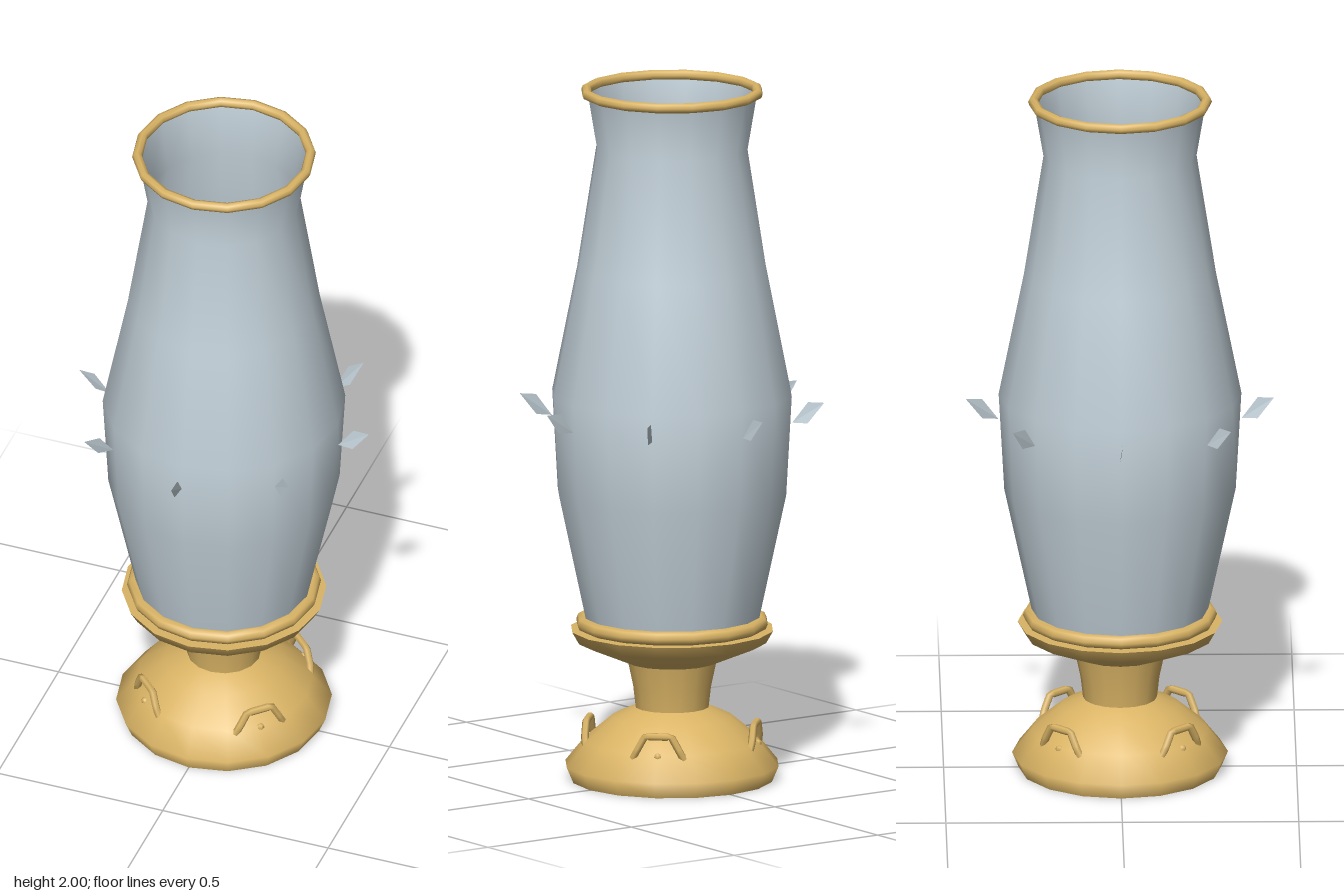
import * as THREE from 'three';

const brass = new THREE.MeshStandardMaterial({ name: 'brass', color: 0xdab465 });
const glass = new THREE.MeshStandardMaterial({ name: 'smokyGlass', color: 0xc2d0d8, side: THREE.DoubleSide });
const wax = new THREE.MeshStandardMaterial({ name: 'wax', color: 0xdcd0c4 });

const SIDES = 16;

function add(parent, name, geometry, material, x = 0, y = 0, z = 0) {
  const mesh = new THREE.Mesh(geometry, material);
  mesh.name = name;
  mesh.position.set(x, y, z);
  parent.add(mesh);
  return mesh;
}

function lathe(points, sides = SIDES) {
  return new THREE.LatheGeometry(points.map(([r, y]) => new THREE.Vector2(r, y)), sides);
}

function ring(radius, tube) {
  return new THREE.TorusGeometry(radius, tube, 8, SIDES).rotateX(Math.PI / 2);
}

// Thin slanted pendant, slightly twisted; local +x points away from the shade
function pendantGeometry() {
  const g = new THREE.BufferGeometry();
  g.setAttribute('position', new THREE.Float32BufferAttribute([
    0.345, 1.04, 0, 0.39, 1.04, 0.005, 0.437, 1.1, -0.002,
    0.345, 1.04, 0, 0.437, 1.1, -0.002, 0.39, 1.1, -0.004,
  ], 3));
  g.computeVertexNormals();
  return g;
}

// Bent strap handle; local +x points outward
function handleGeometry() {
  const path = new THREE.CurvePath();
  const pts = [
    [0.232, 0.085, -0.082], [0.24, 0.125, -0.062], [0.24, 0.168, -0.038],
    [0.24, 0.168, 0.038], [0.24, 0.125, 0.062], [0.232, 0.085, 0.082],
  ].map(p => new THREE.Vector3(...p));
  for (let i = 0; i < pts.length - 1; i++) path.add(new THREE.LineCurve3(pts[i], pts[i + 1]));
  return new THREE.TubeGeometry(path, 20, 0.011, 6, false);
}

export function createModel() {
  const model = new THREE.Group();
  model.name = 'hurricaneLamp';

  // Pedestal: domed foot, stem and flared dish
  const pedestal = new THREE.Group();
  pedestal.name = 'pedestal';
  model.add(pedestal);
  add(pedestal, 'foot', lathe([
    [0.287, 0], [0.306, 0.045], [0.25, 0.115], [0.17, 0.182], [0.105, 0.21],
  ]), brass);
  add(pedestal, 'stem', lathe([[0.105, 0.21], [0.112, 0.27], [0.127, 0.34]]), brass);
  add(pedestal, 'dish', lathe([[0.127, 0.34], [0.27, 0.4], [0.29, 0.435]]), brass);
  add(pedestal, 'footUnderside', new THREE.CircleGeometry(0.287, SIDES).rotateX(Math.PI / 2), brass);
  add(pedestal, 'dishTop', new THREE.CircleGeometry(0.29, SIDES).rotateX(-Math.PI / 2), brass, 0, 0.435);

  // Four handles on the foot, each with a small stud beneath
  const handle = handleGeometry();
  const stud = new THREE.SphereGeometry(0.012, 6, 4);
  for (let i = 0; i < 4; i++) {
    const mount = new THREE.Group();
    mount.name = 'handleMount';
    mount.rotation.y = Math.PI / 4 + i * Math.PI / 2;
    add(mount, 'handle', handle, brass);
    add(mount, 'stud', stud, brass, 0.246, 0.11, 0);
    pedestal.add(mount);
  }

  // Glass shade with its two brass rings
  add(model, 'shade', lathe([
    [0.248, 0.46], [0.328, 0.83], [0.344, 1.115], [0.272, 1.475], [0.217, 1.825], [0.244, 1.985],
  ]), glass);
  add(model, 'lowerRing', ring(0.255, 0.02), brass, 0, 0.455);
  add(model, 'upperRing', ring(0.246, 0.0145), brass, 0, 1.9855);

  // Eight pendants around the widest part
  const pendant = pendantGeometry();
  for (let i = 0; i < 8; i++) {
    add(model, 'pendant', pendant, glass).rotation.y = i * Math.PI / 4;
  }

  // Candle with drips and wick
  const candle = new THREE.Group();
  candle.name = 'candle';
  model.add(candle);
  add(candle, 'candleBody', lathe([[0.085, 0.435], [0.083, 0.92]], 10), wax);
  add(candle, 'candleShoulder', lathe([[0.083, 0.92], [0.072, 0.94]], 10), wax);
  add(candle, 'candleTop', new THREE.CircleGeometry(0.072, 10).rotateX(-Math.PI / 2), wax, 0, 0.94);
  for (const [x, y, z] of [[-0.04, 0.88, -0.08], [-0.05, 0.85, 0.07]]) {
    add(candle, 'drip', new THREE.SphereGeometry(0.015, 6, 5).scale(1, 3, 1), wax, x, y, z);
  }
  add(candle, 'wick', new THREE.CylinderGeometry(0.01, 0.022, 0.07, 6), brass, 0, 0.97);

  return model;
}
